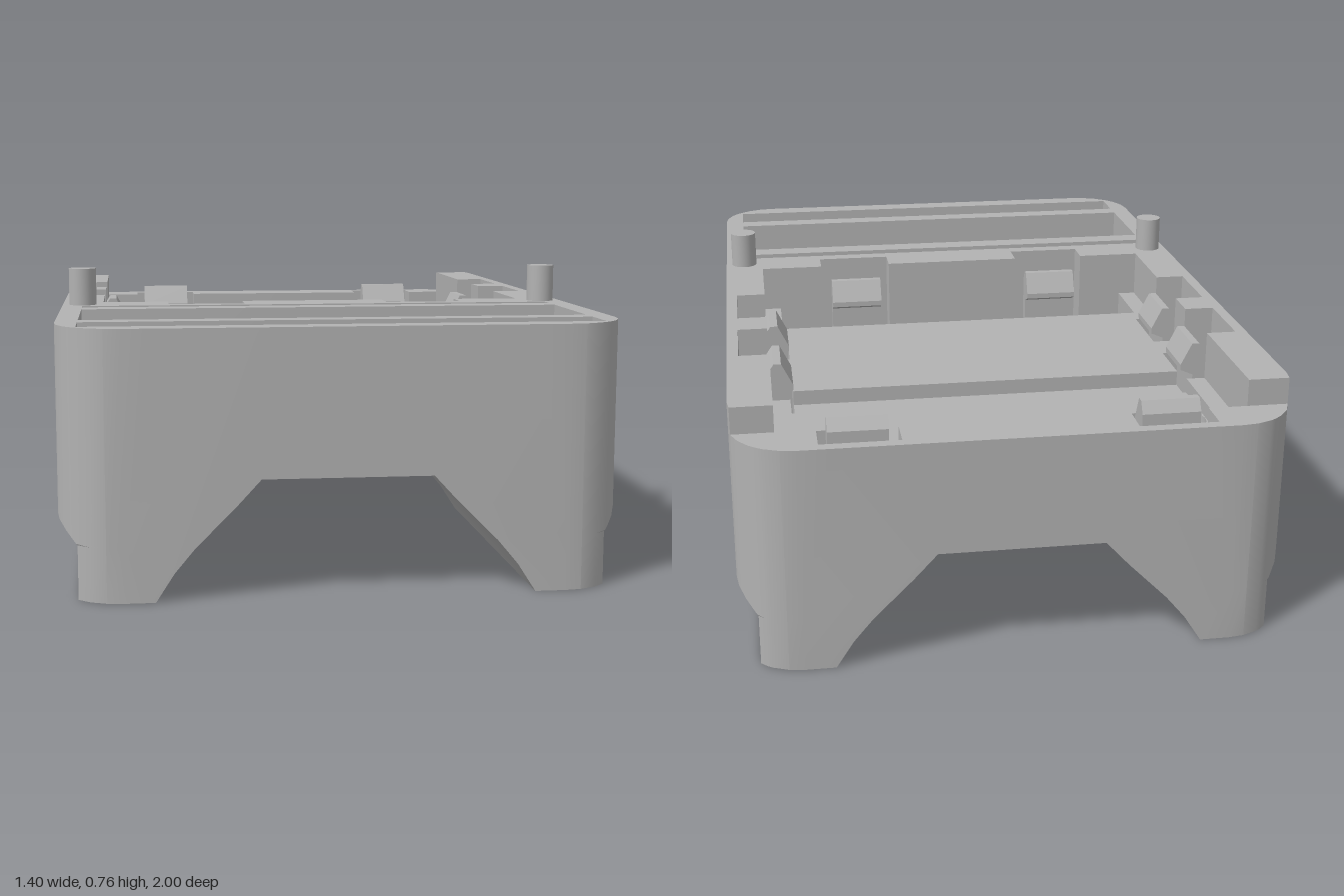
import * as THREE from 'three';
import { mergeGeometries, toCreasedNormals } from 'three/addons/utils/BufferGeometryUtils.js';

const R = 0.16; // vertical corner radius

// Pockets sunk from the top of one half: x0, x1, z0, z1, floor height
const CUTS = [
  [0, 0.59, -0.88, 0.26, 0.53], // main tray
  [0, 0.54, -0.88, -0.46, 0.49], // lower rear tray
  [0, 0.54, 0.06, 0.26, 0.38], // deep slot
  [0.29, 0.49, -0.97, -0.83, 0.23], // rear clip pit
  [0.53, 0.67, -0.52, -0.31, 0.23], // side clip pits
  [0.53, 0.67, -0.21, 0, 0.23],
  [0.2, 0.41, 0.2, 0.34, 0.23], // front clip pit
  [0, 0.645, 0.38, 0.42, 0.36], // storage bins
  [0, 0.645, 0.48, 0.775, 0.36],
  [0, 0.645, 0.83, 0.94, 0.36],
  [0.3, 0.7, -0.82, -0.6, 0.36], // side window, bridged over below
];

// Underside outlines of one half: tunnel, leg, chamfer
const LEG = [[0.65, 0], [0.65, 0.135], [0.7, 0.19]];
const TUNNEL = [[0, 0.295], [0.21, 0.295], [0.27, 0.23], [0.37, 0.13], [0.42, 0.07], [0.465, 0], ...LEG];
const WIDE_TUNNEL = [[0, 0.36], [0.235, 0.36], [0.42, 0.17], [0.495, 0.08], [0.55, 0], ...LEG];

function under(profile, x) {
  for (let i = 1; i < profile.length; i++) {
    const [ax, ay] = profile[i - 1], [bx, by] = profile[i];
    if (bx > ax && x >= ax && x <= bx) return ay + ((by - ay) * (x - ax)) / (bx - ax);
  }
  return 0;
}

function halfWidth(z) {
  const d = Math.max(0, Math.abs(z) - (1 - R));
  return 0.7 - R + Math.sqrt(Math.max(0, R * R - d * d));
}

const unique = (list) => [...new Set(list)].sort((a, b) => a - b);

// Solid outlines of one half at a given z
function sections(z) {
  const profile = z > -0.6 && z < 0.06 ? WIDE_TUNNEL : TUNNEL;
  const cuts = CUTS.filter((c) => z > c[2] && z < c[3]);
  const xs = unique([...profile.map((p) => p[0]), ...cuts.flatMap((c) => [c[0], c[1]])]);
  const outlines = [];
  let low = [], high = [];
  const add = (list, x, y) => {
    const last = list[list.length - 1];
    if (!last || Math.hypot(last[0] - x, last[1] - y) > 1e-4) list.push([x, y]);
  };
  const close = () => {
    if (low.length) outlines.push([...low, ...high.reverse()]);
    low = [];
    high = [];
  };
  for (let i = 1; i < xs.length; i++) {
    const a = xs[i - 1], b = xs[i], mid = (a + b) / 2;
    let top = z < -0.88 ? 0.59 : 0.66;
    for (const c of cuts) if (mid > c[0] && mid < c[1]) top = Math.min(top, c[4]);
    if (top <= under(profile, mid)) {
      close();
      continue;
    }
    add(low, a, under(profile, a + 1e-6));
    add(low, b, under(profile, b - 1e-6));
    add(high, a, top);
    add(high, b, top);
  }
  close();
  return outlines;
}

// Round the vertical corners by pulling outer vertices in
function roundCorners(g) {
  const p = g.attributes.position;
  for (let i = 0; i < p.count; i++) {
    const x = p.getX(i), w = halfWidth(p.getZ(i));
    if (Math.abs(x) > 0.69 && Math.abs(p.getY(i) - 0.19) < 1e-3) {
      p.setY(i, 0.135 + Math.max(0, w - 0.65) * 1.1);
    }
    if (Math.abs(x) > w) p.setX(i, Math.sign(x) * w);
  }
  return g;
}

function bodyGeometry() {
  const arc = [0, 1, 2, 3, 4, 5, 6].map((k) => 1 - R + R * Math.sin((k * Math.PI) / 12));
  const zs = unique([-0.88, ...arc, ...arc.map((z) => -z), ...CUTS.flatMap((c) => [c[2], c[3]])]);
  const parts = [];
  for (let i = 1; i < zs.length; i++) {
    for (const outline of sections((zs[i - 1] + zs[i]) / 2)) {
      for (const s of [1, -1]) {
        const shape = new THREE.Shape(outline.map(([x, y]) => new THREE.Vector2(s * x, y)));
        const g = new THREE.ExtrudeGeometry(shape, { depth: zs[i] - zs[i - 1], bevelEnabled: false });
        parts.push(roundCorners(g.translate(0, 0, zs[i - 1])));
      }
    }
  }
  return toCreasedNormals(mergeGeometries(parts), 0.32);
}

// Tray floor over the window channel, with an oval hole
function ovalPlateGeometry() {
  const shape = new THREE.Shape();
  shape.moveTo(-0.12, -0.11);
  shape.lineTo(0.12, -0.11);
  shape.lineTo(0.12, 0.11);
  shape.lineTo(-0.12, 0.11);
  const hole = new THREE.Path();
  hole.absarc(0.056, 0, 0.062, -Math.PI / 2, Math.PI / 2, false);
  hole.absarc(-0.056, 0, 0.062, Math.PI / 2, Math.PI * 1.5, false);
  shape.holes.push(hole);
  const g = new THREE.ExtrudeGeometry(shape, { depth: 0.03, bevelEnabled: false, curveSegments: 12 });
  return g.rotateX(-Math.PI / 2);
}

// Snap clip: stalk with a hooked head pointing to -x
function clipGeometry() {
  const pts = [[0.035, 0.23], [0.07, 0.23], [0.07, 0.59], [0.05, 0.62], [0.03, 0.62], [0, 0.56], [0, 0.545], [0.035, 0.53]];
  const shape = new THREE.Shape(pts.map(([x, y]) => new THREE.Vector2(x, y)));
  return new THREE.ExtrudeGeometry(shape, { depth: 0.15, bevelEnabled: false }).translate(0, 0, -0.075);
}

export function createModel() {
  const grey = new THREE.MeshStandardMaterial({ color: 0xb2b2b2 });
  grey.name = 'grey plastic';
  const model = new THREE.Group();
  model.name = 'deviceTray';
  const add = (name, geometry, x = 0, y = 0, z = 0, turn = 0) => {
    const mesh = new THREE.Mesh(geometry, grey);
    mesh.name = name;
    mesh.position.set(x, y, z);
    mesh.rotation.y = turn;
    model.add(mesh);
  };

  add('body', bodyGeometry());
  const plate = ovalPlateGeometry();
  const clip = clipGeometry();
  const post = new THREE.CylinderGeometry(0.037, 0.037, 0.12, 32);
  for (const s of [1, -1]) {
    const side = s > 0 ? 'left' : 'right';
    // Bridge above the window channel
    add(side + 'OvalPlate', plate, s * 0.42, 0.46, -0.71);
    add(side + 'Ledge', new THREE.BoxGeometry(0.05, 0.07, 0.22), s * 0.565, 0.495, -0.71);
    add(side + 'WindowWall', new THREE.BoxGeometry(0.11, 0.2, 0.22), s * 0.645, 0.56, -0.71);
    // Posts and clips
    add(side + 'Post', post, s * 0.645, 0.7, 0.325);
    for (const z of [-0.415, -0.105]) add(side + 'SideClip', clip, s * 0.53, 0, z, s > 0 ? 0 : Math.PI);
    add(side + 'RearClip', clip, s * 0.39, 0, -0.83, Math.PI / 2);
    add(side + 'FrontClip', clip, s * 0.305, 0, 0.2, -Math.PI / 2);
  }
  return model;
}
